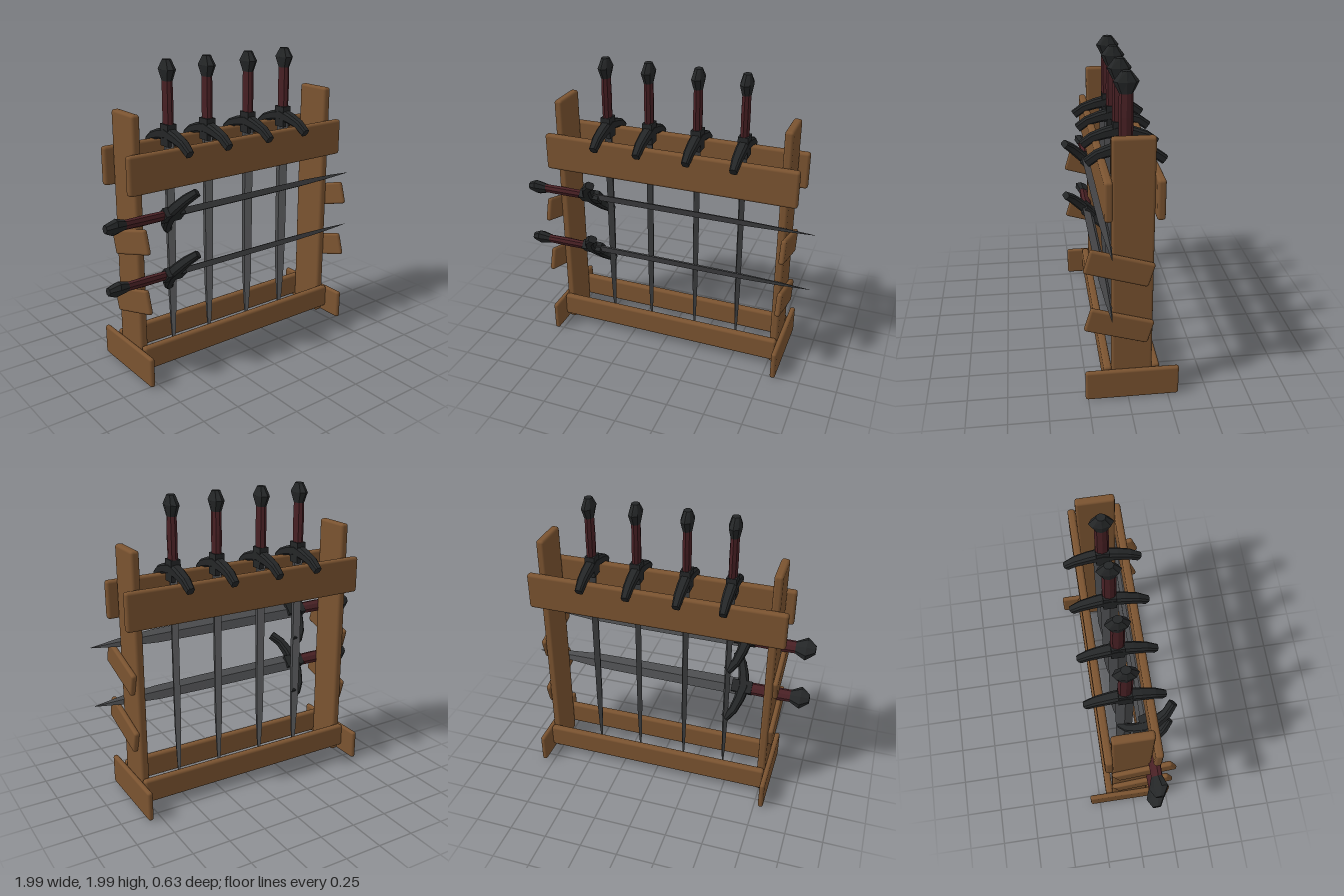
import * as THREE from 'three';
import { RoundedBoxGeometry } from 'three/addons/geometries/RoundedBoxGeometry.js';

const material = (name, color) => {
  const m = new THREE.MeshStandardMaterial({ color });
  m.name = name;
  return m;
};

// Faceted solid through a list of rings, closed at both ends
function loft(rings) {
  const pos = [];
  const tri = (...pts) => pts.forEach((p) => pos.push(p.x, p.y, p.z));
  const n = rings[0].length;
  const middle = (r) => r.reduce((s, p) => s.add(p), new THREE.Vector3()).divideScalar(n);
  const first = rings[0], last = rings[rings.length - 1];
  const c0 = middle(first), c1 = middle(last);
  for (let j = 0; j < n; j++) {
    const k = (j + 1) % n;
    for (let i = 0; i < rings.length - 1; i++) {
      const a = rings[i], b = rings[i + 1];
      tri(a[j], a[k], b[k]);
      tri(a[j], b[k], b[j]);
    }
    tri(c0, first[k], first[j]);
    tri(c1, last[j], last[k]);
  }
  const g = new THREE.BufferGeometry();
  g.setAttribute('position', new THREE.Float32BufferAttribute(pos, 3));
  g.computeVertexNormals();
  return g;
}

// Stations [distance from pommel, half thickness, half width] along -y
function shaft(sides, stations) {
  return loft(stations.map(([t, hx, hz]) =>
    Array.from({ length: sides }, (_, j) => {
      const a = (j / sides) * Math.PI * 2;
      return new THREE.Vector3(hx * Math.cos(a), -t, hz * Math.sin(a));
    })));
}

// Curved crossguard: a bevelled bar swept along z, tips bent towards the blade
function guardGeometry() {
  const half = [[0, 0.455, 0.035, 0.04], [0.09, 0.472, 0.034, 0.033], [0.17, 0.497, 0.03, 0.028], [0.235, 0.545, 0.023, 0.028]];
  const path = [...half.slice(1).reverse().map(([z, ...r]) => [-z, ...r]), ...half];
  const corners = [[1, -0.6], [1, 0.6], [0.6, 1], [-0.6, 1], [-1, 0.6], [-1, -0.6], [-0.6, -1], [0.6, -1]];
  return loft(path.map(([z, t, hx, hn], i) => {
    const p = path[Math.max(0, i - 1)], q = path[Math.min(path.length - 1, i + 1)];
    const dir = new THREE.Vector2(q[0] - p[0], p[1] - q[1]).normalize();
    return corners.map(([u, v]) =>
      new THREE.Vector3(u * hx, -t + v * hn * dir.x, z - v * hn * dir.y));
  }));
}

export function createModel() {
  const wood = material('wood', 0x7a5330);
  const steel = material('blade steel', 0x4b4c4e);
  const iron = material('dark iron', 0x242627);
  const leather = material('grip leather', 0x482024);

  const model = new THREE.Group();
  model.name = 'swordRack';

  const plank = (name, [x0, x1], [y0, y1], [z0, z1], tilt = 0) => {
    const w = x1 - x0, h = y1 - y0, d = z1 - z0;
    const r = Math.min(0.018, Math.min(w, h, d) * 0.45);
    const m = new THREE.Mesh(new RoundedBoxGeometry(w, h, d, 2, r), wood);
    m.name = name;
    m.position.set((x0 + x1) / 2, (y0 + y1) / 2, (z0 + z1) / 2);
    m.rotation.x = tilt;
    model.add(m);
  };

  // Side frames: post, foot and two tilted brackets each
  for (const [side, post, outer] of [
    ['right', [-0.78, -0.725], [-0.812, -0.777]],
    ['left', [0.75, 0.805], [0.802, 0.838]],
  ]) {
    plank(side + 'Post', post, [0.015, 1.715], [-0.15, 0.102]);
    plank(side + 'Foot', outer, [0.01, 0.212], [-0.318, 0.267]);
    plank(side + 'UpperBracket', outer, [0.848, 1.004], [-0.143, 0.259], -0.29);
    plank(side + 'LowerBracket', outer, [0.457, 0.613], [-0.143, 0.259], -0.29);
  }

  // Rails on the front and back of the posts
  for (const [side, z] of [['front', [0.1, 0.15]], ['back', [-0.198, -0.148]]]) {
    plank(side + 'TopRail', [-0.84, 0.87], [1.24, 1.487], z);
    plank(side + 'BottomRail', [-0.778, 0.803], [0.065, 0.226], z);
  }

  // Sword parts, shared by all six swords
  const parts = [
    ['pommel', iron, shaft(8, [[0, 0.026, 0.03], [0.06, 0.043, 0.077], [0.13, 0.03, 0.042]])],
    ['grip', leather, shaft(8, [[0.12, 0.028, 0.042], [0.27, 0.03, 0.045], [0.43, 0.028, 0.042]])],
    ['collar', iron, new THREE.BoxGeometry(0.066, 0.14, 0.085).translate(0, -0.465, 0)],
    ['guard', iron, guardGeometry()],
    ['blade', steel, shaft(4, [[0.5, 0.021, 0.058], [1.2, 0.02, 0.055],
      [1.55, 0.018, 0.05], [1.8, 0.011, 0.03], [1.99, 0.001, 0.002]])],
  ];
  const sword = (name, x, y, z) => {
    const g = new THREE.Group();
    g.name = name;
    g.position.set(x, y, z);
    for (const [part, mat, geo] of parts) {
      const m = new THREE.Mesh(geo, mat);
      m.name = part;
      g.add(m);
    }
    model.add(g);
    return g;
  };

  // Four swords hang point down between the top rails
  for (const x of [-0.455, -0.16, 0.17, 0.478]) sword('hangingSword', x, 2, -0.022);

  // Two swords lie across the brackets, turned on edge by half a right angle
  for (const y of [1.072, 0.672]) {
    sword('restingSword', -1, y, 0.12).rotation.set(-Math.PI / 4, 0, Math.PI / 2);
  }

  return model;
}
